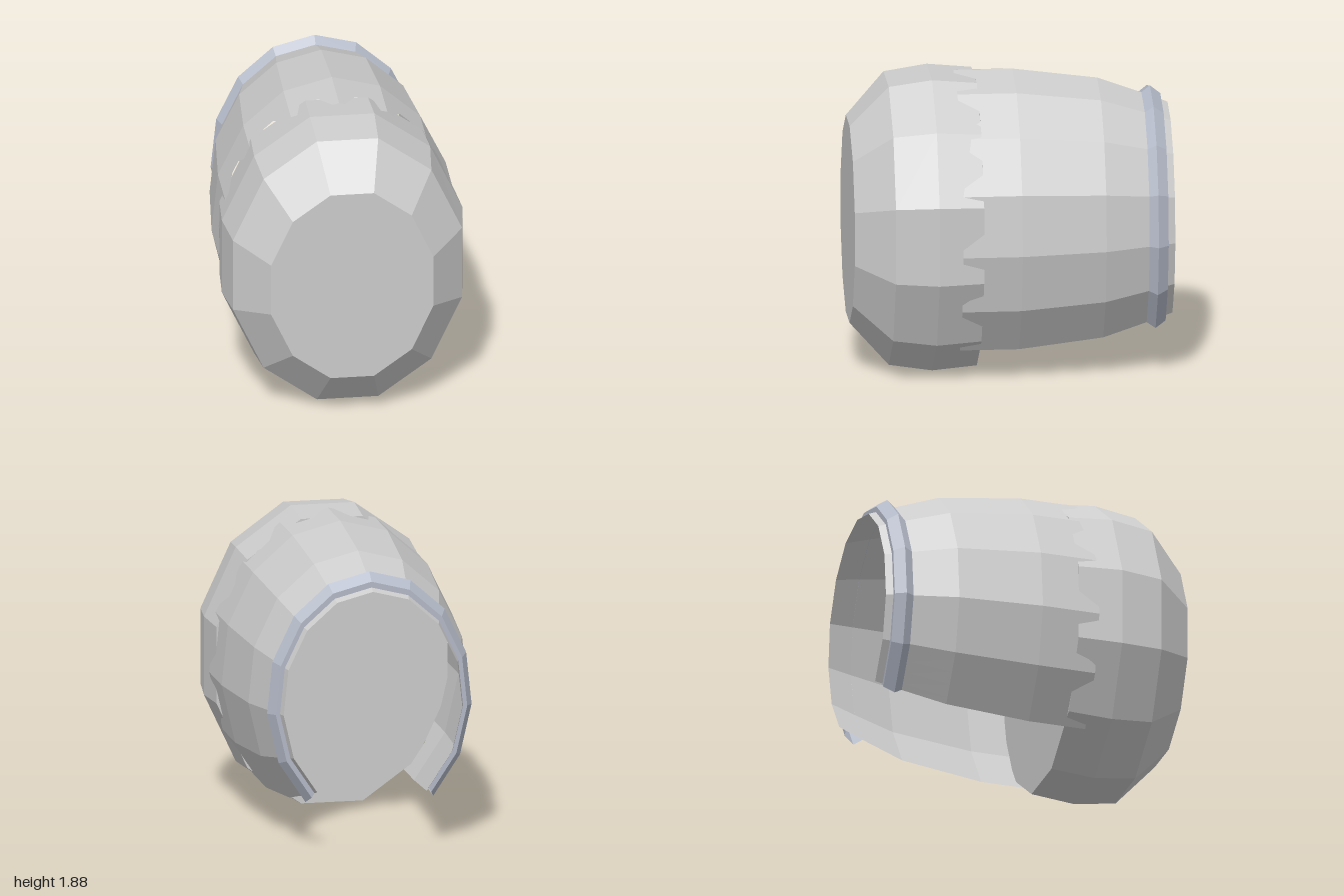
import * as THREE from 'three';

const CENTRE_Y = 0.935;
const DEG = Math.PI / 180;

// Columns around the section: polygon corners, plus optional points along each chord
function columns(start, step, sides, fractions = [0]) {
  const cols = [];
  const corner = (i) => [Math.sin((start + i * step) * DEG), Math.cos((start + i * step) * DEG)];
  for (let i = 0; i < sides; i++) {
    const a = corner(i), b = corner(i + 1);
    for (const f of fractions) cols.push([a[0] + (b[0] - a[0]) * f, a[1] + (b[1] - a[1]) * f]);
  }
  cols.push(corner(sides));
  return cols;
}

// Skin over rings [z, radiusX, radiusY] from front to back; z may vary by column
function loft(cols, rings) {
  const point = ([z, rx, ry], j) => new THREE.Vector3(
    cols[j][0] * rx, CENTRE_Y + cols[j][1] * ry, typeof z === 'function' ? z(j) : z);
  const pos = [];
  const tri = (a, b, c) => {
    const area = b.clone().sub(a).cross(c.clone().sub(a)).length();
    if (area > 1e-7) for (const p of [a, b, c]) pos.push(p.x, p.y, p.z);
  };
  for (let i = 0; i < rings.length - 1; i++) {
    for (let j = 0; j < cols.length - 1; j++) {
      const a = point(rings[i], j), b = point(rings[i], j + 1);
      const c = point(rings[i + 1], j), d = point(rings[i + 1], j + 1);
      tri(a, b, c);
      tri(b, d, c);
    }
  }
  const geometry = new THREE.BufferGeometry();
  geometry.setAttribute('position', new THREE.Float32BufferAttribute(pos, 3));
  geometry.computeVertexNormals();
  return geometry;
}

export function createModel() {
  const group = new THREE.Group();
  const grey = new THREE.MeshStandardMaterial({ color: 0xcccccc, flatShading: true, side: THREE.DoubleSide });
  const steel = grey.clone();
  steel.color.set(0xb4bac8);

  const add = (name, geometry, material) => {
    const mesh = new THREE.Mesh(geometry, material);
    mesh.name = name;
    group.add(mesh);
  };

  // Closed twelve-sided nose with a flat front and a flat back wall
  add('noseCap', loft(columns(15, 30, 12), [
    [1, 0, 0], [1, 0.528, 0.657], [0.76, 0.745, 0.927], [0.49, 0.782, 0.968],
    [0.21, 0.762, 0.942], [0.21, 0, 0],
  ]), grey);

  // Shell open underneath and at the back, with a toothed front edge
  const HALF_ARC = 141.5, SIDES = 12, STEP = (2 * HALF_ARC) / SIDES;
  const toothZ = [0.34, 0.34, 0.21, 0.21, 0.34];
  add('shell', loft(columns(-HALF_ARC, STEP, SIDES, [0, 0.13, 0.38, 0.62, 0.87]), [
    [(j) => toothZ[j % 5], 0.757, 0.945], [-0.03, 0.757, 0.945], [-0.56, 0.702, 0.875],
    [-0.835, 0.622, 0.775], [-1, 0.571, 0.71],
  ]), grey);

  // Raised rim band near the back opening
  add('rimBand', loft(columns(-HALF_ARC, STEP, SIDES), [
    [-0.835, 0.622, 0.773], [-0.89, 0.654, 0.817], [-0.955, 0.612, 0.765], [-0.955, 0.585, 0.728],
  ]), steel);

  return group;
}
